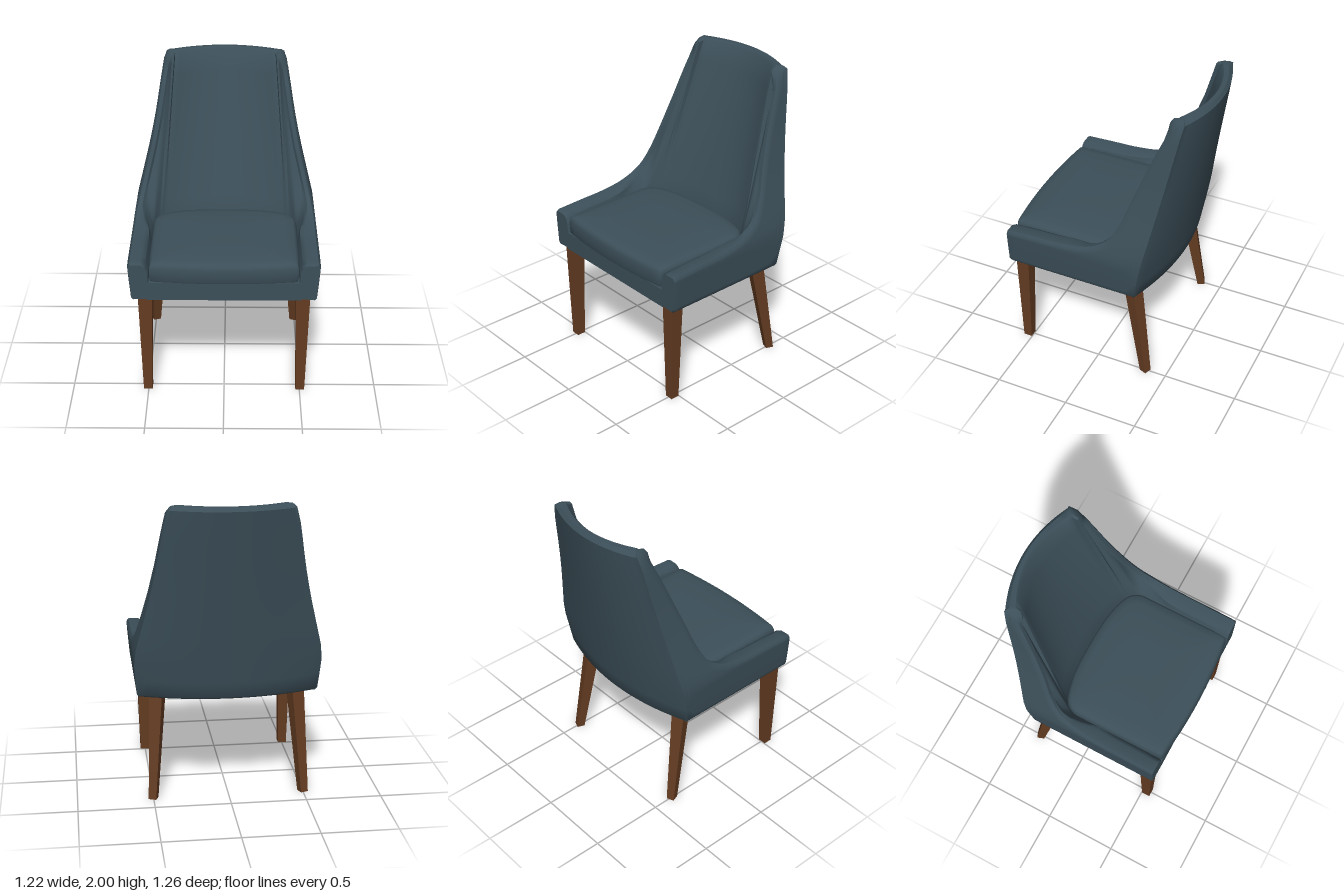
import * as THREE from 'three';
import { toCreasedNormals } from 'three/addons/utils/BufferGeometryUtils.js';

const { lerp, clamp, smoothstep } = THREE.MathUtils;
const V = (x, y, z) => new THREE.Vector3(x, y, z);

// Skin over a list of equally long point rows; optional fans close the first and last row.
function loft(rows, capEnds = false, crease = 0.75) {
  const n = rows[0].length, pos = [], idx = [];
  rows.forEach(r => r.forEach(p => pos.push(p.x, p.y, p.z)));
  for (let i = 0; i < rows.length - 1; i++) {
    for (let j = 0; j < n - 1; j++) {
      const a = i * n + j, b = a + n;
      idx.push(a, b, b + 1, a, b + 1, a + 1);
    }
  }
  if (capEnds) {
    [0, rows.length - 1].forEach((r, end) => {
      const c = centroid(rows[r]), ci = pos.length / 3;
      pos.push(c.x, c.y, c.z);
      for (let j = 0; j < n; j++) {
        const a = r * n + j, b = r * n + (j + 1) % n;
        end ? idx.push(ci, b, a) : idx.push(ci, a, b);
      }
    });
  }
  const g = new THREE.BufferGeometry();
  g.setAttribute('position', new THREE.Float32BufferAttribute(pos, 3));
  g.setIndex(idx);
  return toCreasedNormals(g, crease);
}

function centroid(points) {
  return points.reduce((s, p) => s.add(p), V(0, 0, 0)).divideScalar(points.length);
}

// Half width of the shell at a given height.
const WIDTHS = [[0.7, 0.592], [0.85, 0.605], [0.95, 0.612], [1.02, 0.602], [1.2, 0.557],
  [1.4, 0.508], [1.6, 0.468], [1.8, 0.436], [1.95, 0.41], [2, 0.385]];
function width(y) {
  let i = 1;
  while (i < WIDTHS.length - 1 && y > WIDTHS[i][0]) i++;
  const [y0, w0] = WIDTHS[i - 1], [y1, w1] = WIDTHS[i];
  return lerp(w0, w1, clamp((y - y0) / (y1 - y0), 0, 1));
}

// Outline of the seat well: straight side, rounded corner, shallow back curve.
const seatCorner = g => {
  const a = g * Math.PI / 3;
  return V(0.35 + 0.13 * Math.cos(a), 0, -0.03 - 0.13 * Math.sin(a));
};
const seatBack = k => V(0.415 * k, 0, -0.143 - 0.057 * (1 - Math.abs(k) ** 3));

// One section of the shell: up the outside, over the rim, down the inside.
function section(bottom, outer, crown1, crown2, inner, seat, k) {
  const pts = [V(bottom.x - 0.012 * k, 0.7, bottom.z + (k < 1 ? 0.012 : 0)),];
  for (let j = 0; j <= 12; j++) {
    const t = j / 12, y = lerp(0.715, outer.y, t);
    pts.push(V(width(y) * k, y, lerp(bottom.z, outer.z, t)));
  }
  pts.push(crown1, crown2);
  for (let j = 0; j <= 8; j++) {
    const p = inner.clone().lerp(V(seat.x, 0.9, seat.z), j / 8);
    pts.push(p);
  }
  pts.push(V(seat.x, 0.705, seat.z));
  return pts;
}

function shellRows() {
  const rows = [];
  // Rim line along the arm and up the wing
  const rim = new THREE.CatmullRomCurve3([[0.585, 0.967], [0.4, 0.976], [0.2, 0.985], [0.02, 1.018],
    [-0.1, 1.09], [-0.17, 1.2], [-0.25, 1.42], [-0.32, 1.61], [-0.395, 1.8], [-0.455, 1.93],
    [-0.49, 1.985], [-0.535, 2]].map(([z, y]) => V(0, y, z)));
  const N = 44;
  for (let i = 0; i <= N; i++) {
    const p = rim.getPointAt(i / N), t = rim.getTangentAt(i / N);
    const n = V(0, t.z, -t.y);               // points into the upholstery
    const e = clamp((0.585 - p.z) / 0.685, 0, 1), g = clamp((-0.1 - p.z) / 0.435, 0, 1);
    const bottom = V(0.592, 0.7, e < 1 ? lerp(0.585, -0.25, e) : lerp(-0.25, -0.305, g));
    const thick = lerp(0.11, 0.05, smoothstep(e, 0.6, 1));
    const turn = 0.06 * smoothstep(p.y, 1.85, 2);
    const seat = e < 1 ? V(0.48, 0, lerp(0.585, -0.03, e)) : seatCorner(g);
    const at = (inset, depth, fwd) => {
      const q = p.clone().addScaledVector(n, depth);
      return V(width(p.y) - inset, q.y, q.z + fwd);
    };
    rows.push(section(bottom, at(0, 0.022, 0), at(0.012, 0.002, turn * 0.2),
      at(thick * 0.75, 0.004, turn * 0.75), at(thick, 0.02, turn), seat, 1));
  }
  // Backrest from the corner to the centre line
  for (let i = 0; i <= 14; i++) {
    const k = 0.965 * (1 - i / 14), bow = 1 - k * k;
    const zTop = -0.535 - 0.095 * bow, w = width(2);
    rows.push(section(V(0.592 * k, 0.7, -0.31 - 0.11 * bow), V(w * k, 1.972, zTop),
      V((w - 0.012) * k, 1.997, zTop + 0.018), V((w - 0.04) * k, 1.998, zTop + 0.045),
      V((w - 0.05) * k, 1.98, zTop + 0.062), seatBack(k), k));
  }
  // Rounded front end of the arm
  const c = centroid(rows[0]);
  rows.unshift(rows[0].map(p => {
    const q = p.clone().lerp(c, 0.07);
    return V(q.x, q.y, 0.6);
  }));
  // Other half
  const mirrored = rows.slice(0, -1).reverse().map(r => r.map(p => V(-p.x, p.y, p.z)));
  return rows.concat(mirrored);
}

function cushionGeometry() {
  const half = [];
  for (let i = 0; i <= 8; i++) {            // bowed front edge
    const x = 0.46 * i / 8;
    half.push(V(x, 0, 0.6 + 0.03 * (1 - (x / 0.46) ** 2)));
  }
  half.push(V(0.475, 0, 0.59));
  for (let i = 1; i <= 6; i++) half.push(V(0.48, 0, lerp(0.58, -0.03, i / 6)));
  for (let i = 1; i <= 6; i++) half.push(seatCorner(i / 6));
  for (let i = 1; i <= 8; i++) half.push(seatBack(1 - i / 8));
  const ring = half.concat(half.slice(0, -1).reverse().map(p => V(-p.x, 0, p.z)));
  const layers = [[0.9, 0.836], [0.985, 0.838], [0.995, 0.85], [1, 0.9], [0.995, 0.935],
    [0.98, 0.955], [0.95, 0.966], [0.85, 0.974], [0.6, 0.982], [0.3, 0.985], [0.001, 0.986]];
  return loft(ring.map(p => layers.map(([s, y]) => V(p.x * s, y, 0.2 + (p.z - 0.2) * s))));
}

// Tapered square leg between a top and a bottom centre.
function legGeometry(top, bottom, topSize, bottomSize, turn) {
  const g = new THREE.BoxGeometry(1, 1, 1), p = g.attributes.position;
  for (let i = 0; i < p.count; i++) {
    const t = p.getY(i) + 0.5, c = bottom.clone().lerp(top, t);
    const v = V(p.getX(i), 0, p.getZ(i)).multiplyScalar(lerp(bottomSize, topSize, t));
    v.applyAxisAngle(V(0, 1, 0), turn).add(c);
    p.setXYZ(i, v.x, v.y, v.z);
  }
  g.computeVertexNormals();
  return g;
}

export function createModel() {
  const fabric = new THREE.MeshStandardMaterial({ color: 0x3c4f59 });
  fabric.name = 'slate fabric';
  const wood = new THREE.MeshStandardMaterial({ color: 0x643c22 });
  wood.name = 'walnut wood';

  const chair = new THREE.Group();
  chair.name = 'chair';
  const add = (name, geometry, material) => {
    const mesh = new THREE.Mesh(geometry, material);
    mesh.name = name;
    chair.add(mesh);
    return mesh;
  };

  // Upholstered shell: arms, wings and backrest
  const rows = shellRows();
  add('shell', loft(rows, true), fabric);

  // Seat base and underside
  add('seatBase', new THREE.BoxGeometry(0.99, 0.125, 0.8), fabric).position.set(0, 0.769, 0.2);
  const outline = new THREE.Shape(rows.map(r => new THREE.Vector2(r[0].x, r[0].z)));
  add('underside', new THREE.ShapeGeometry(outline).rotateX(Math.PI / 2), fabric).position.y = 0.701;

  add('seatCushion', cushionGeometry(), fabric);

  // Legs
  for (const s of [1, -1]) {
    const side = s > 0 ? 'Left' : 'Right';
    add('front' + side + 'Leg',
      legGeometry(V(0.507 * s, 0.72, 0.527), V(0.503 * s, 0, 0.532), 0.09, 0.058, 0), wood);
    add('back' + side + 'Leg',
      legGeometry(V(0.455 * s, 0.72, -0.235), V(0.5 * s, 0, -0.352), 0.088, 0.052, -0.36 * s), wood);
  }
  return chair;
}
